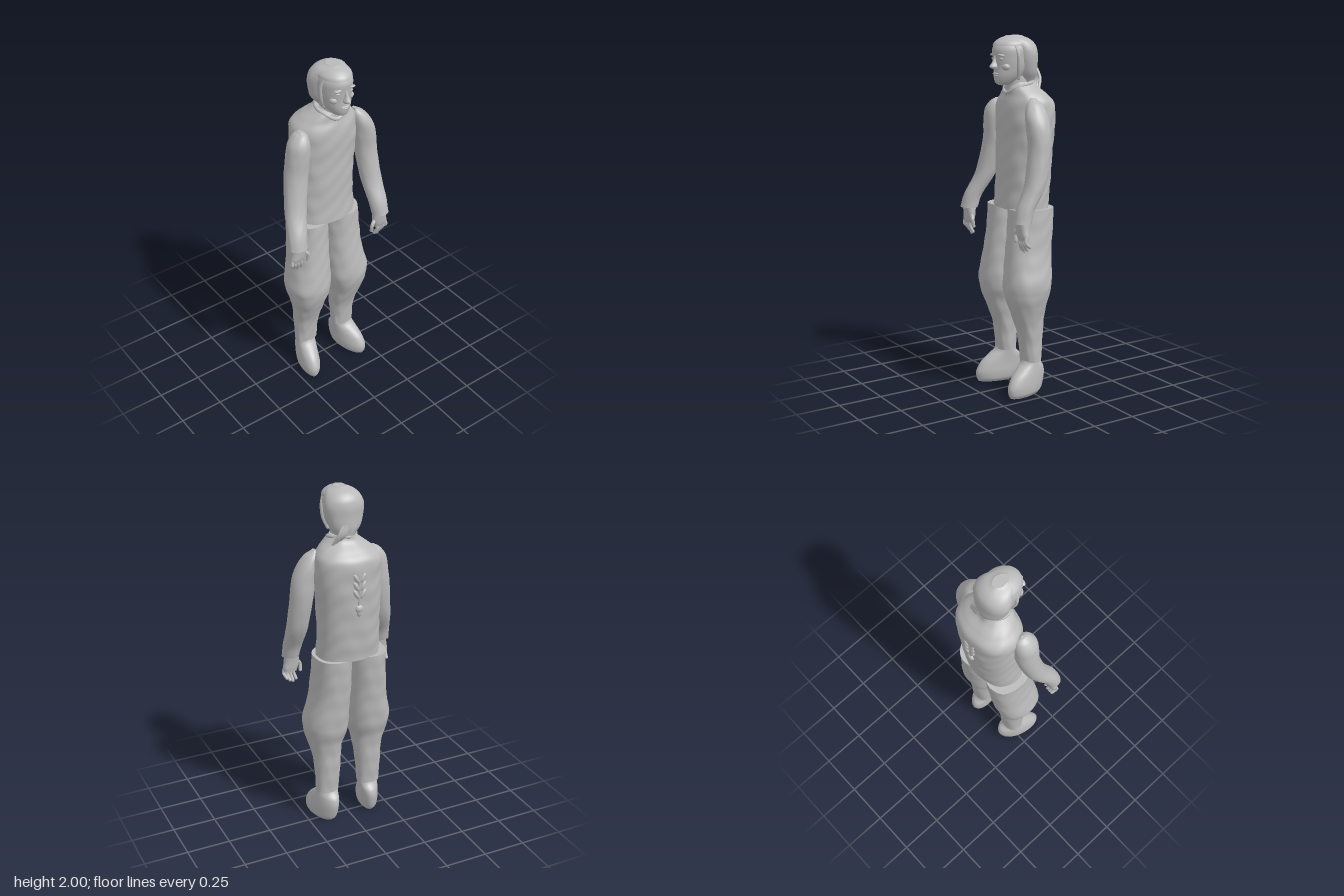
import * as THREE from 'three';

const clay = new THREE.MeshStandardMaterial({ color: 0xbababa });
clay.name = 'plain grey';

// Smooth body through horizontal sections [y, centreX, centreZ, radiusX, radiusZ], listed bottom to top.
function loft(rows, { power = 2, wrinkle = 0, shear = 0, sides = 40, steps = 6 } = {}) {
  const centre = new THREE.CatmullRomCurve3(
    rows.map(([y, x, z]) => new THREE.Vector3(x, y, z)), false, 'catmullrom', 0.5);
  const radius = new THREE.SplineCurve(rows.map(r => new THREE.Vector2(r[3], r[4])));
  const n = (rows.length - 1) * steps;
  const pos = [], index = [];
  const bend = v => Math.sign(v) * Math.abs(v) ** (2 / power);
  const ring = t => {
    const c = centre.getPoint(t), r = radius.getPoint(t);
    for (let j = 0; j < sides; j++) {
      const a = j / sides * Math.PI * 2;
      const w = wrinkle * Math.sin(c.y * 41 + Math.cos(a * 3) * 2) * Math.sin(a * 4 + c.y * 17);
      const z = c.z + (Math.max(r.y, 0.002) + w) * bend(Math.sin(a));
      pos.push(c.x + (Math.max(r.x, 0.002) + w) * bend(Math.cos(a)) + shear * z, c.y, z);
    }
  };
  for (let i = 0; i <= n; i++) ring(i / n);
  for (let i = 0; i < n; i++) for (let j = 0; j < sides; j++) {
    const k = (j + 1) % sides, a = i * sides + j, b = i * sides + k;
    index.push(a, a + sides, b, b, a + sides, b + sides);
  }
  // separate rims keep the end caps crisp
  for (const t of [0, 1]) {
    const start = pos.length / 3;
    ring(t);
    const c = centre.getPoint(t);
    pos.push(c.x + shear * c.z, c.y, c.z);
    for (let j = 0; j < sides; j++) {
      const a = start + j, b = start + (j + 1) % sides;
      if (t) index.push(start + sides, b, a);
      else index.push(start + sides, a, b);
    }
  }
  const g = new THREE.BufferGeometry();
  g.setAttribute('position', new THREE.Float32BufferAttribute(pos, 3));
  g.setIndex(index);
  g.computeVertexNormals();
  return g;
}

function add(parent, name, geometry) {
  const mesh = new THREE.Mesh(geometry, clay);
  mesh.name = name;
  parent.add(mesh);
  return mesh;
}

function blob(parent, name, [x, y, z], [rx, ry, rz], tilt = 0) {
  const mesh = add(parent, name, new THREE.SphereGeometry(1, 20, 14));
  mesh.position.set(x, y, z);
  mesh.scale.set(rx, ry, rz);
  mesh.rotation.z = tilt;
  return mesh;
}

// Round strand through points, with a ball at its far end.
function strand(parent, name, points, r, closed = false) {
  const p = points.map(q => new THREE.Vector3(...q));
  add(parent, name, new THREE.TubeGeometry(new THREE.CatmullRomCurve3(p, closed), 24, r, 10, closed));
  if (!closed) blob(parent, name + 'Tip', points.at(-1), [r, r, r]);
}

function makeHead() {
  const head = new THREE.Group();
  head.name = 'head';
  add(head, 'neck', loft([[1.62, 0.03, 0, 0.068, 0.07], [1.72, 0.028, 0.015, 0.06, 0.068],
    [1.82, 0.025, 0.03, 0.06, 0.07]]));
  add(head, 'face', loft([
    [1.735, 0.025, 0.1, 0.025, 0.035], [1.75, 0.025, 0.092, 0.046, 0.058],
    [1.785, 0.025, 0.07, 0.07, 0.087], [1.83, 0.025, 0.05, 0.086, 0.105],
    [1.88, 0.025, 0.05, 0.092, 0.108], [1.93, 0.025, 0.045, 0.092, 0.115],
    [1.97, 0.025, 0.04, 0.072, 0.092], [1.993, 0.03, 0.03, 0.035, 0.045]]));
  add(head, 'nose', loft([[1.823, 0.025, 0.158, 0.014, 0.016], [1.835, 0.025, 0.158, 0.019, 0.032],
    [1.86, 0.025, 0.152, 0.011, 0.022], [1.895, 0.025, 0.146, 0.008, 0.014]], { sides: 20 }));
  blob(head, 'upperLip', [0.025, 1.797, 0.153], [0.028, 0.006, 0.01]);
  blob(head, 'lowerLip', [0.025, 1.786, 0.15], [0.023, 0.007, 0.011]);
  blob(head, 'chin', [0.025, 1.76, 0.137], [0.025, 0.015, 0.015]);
  for (const s of [-1, 1]) {
    blob(head, 'eye', [0.025 + s * 0.038, 1.876, 0.142], [0.016, 0.007, 0.009]);
    blob(head, 'brow', [0.025 + s * 0.04, 1.898, 0.143], [0.026, 0.007, 0.015], -s * 0.12);
    blob(head, 'cheek', [0.025 + s * 0.048, 1.835, 0.115], [0.027, 0.022, 0.026]);
  }
  // hair: back volume, forehead fringe and a loose tail at the nape
  add(head, 'hair', loft([
    [1.745, 0.03, -0.035, 0.052, 0.052], [1.8, 0.025, -0.022, 0.09, 0.07],
    [1.86, 0.025, -0.015, 0.107, 0.076], [1.91, 0.025, -0.01, 0.112, 0.08],
    [1.95, 0.025, 0.002, 0.1, 0.082], [1.98, 0.025, 0.025, 0.075, 0.075],
    [2, 0.025, 0.04, 0.032, 0.045]], { wrinkle: 0.001 }));
  add(head, 'fringe', loft([[1.945, 0.025, 0.045, 0.091, 0.114], [1.965, 0.025, 0.043, 0.084, 0.105],
    [1.985, 0.025, 0.04, 0.06, 0.08], [1.998, 0.025, 0.04, 0.032, 0.045]]));
  for (const s of [-1, 1]) {
    strand(head, 'sideLock', [[0.025 + s * 0.075, 1.95, 0.075], [0.025 + s * 0.092, 1.9, 0.065],
      [0.025 + s * 0.087, 1.83, 0.06], [0.025 + s * 0.066, 1.775, 0.05]], 0.011);
  }
  for (let i = 0; i < 3; i++) {
    strand(head, 'hairTail', [[0.04 + i * 0.012, 1.82, -0.085], [0.06 + i * 0.015, 1.77, -0.09],
      [0.085 + i * 0.015, 1.735 - i * 0.012, -0.065]], 0.013 - i * 0.002);
  }
  return head;
}

function makeHand(side, s) {
  const hand = new THREE.Group();
  hand.name = side + 'Hand';
  add(hand, 'palm', loft([[0.925, s * 0.287, 0.143, 0.038, 0.018], [0.95, s * 0.284, 0.145, 0.044, 0.024],
    [0.985, s * 0.278, 0.146, 0.044, 0.028], [1.04, s * 0.278, 0.145, 0.04, 0.034]], { power: 2.4 }));
  for (let i = 0; i < 4; i++) {
    const x = 0.258 + i * 0.02, drop = [0.875, 0.867, 0.876, 0.892][i];
    strand(hand, 'finger', [[s * x, 0.955, 0.146], [s * (x + 0.006), 0.915, 0.152],
      [s * (x - 0.002), drop, 0.136 - i * 0.004]], 0.0095);
  }
  strand(hand, 'thumb', [[s * 0.25, 0.985, 0.148], [s * 0.222, 0.955, 0.158], [s * 0.222, 0.915, 0.152]], 0.0105);
  return hand;
}

export function createModel() {
  const model = new THREE.Group();
  model.name = 'standingFigure';
  model.add(makeHead());

  // tunic
  add(model, 'tunic', loft([
    [1.055, 0.01, -0.02, 0.18, 0.13], [1.2, 0.01, -0.03, 0.176, 0.134],
    [1.4, 0.015, -0.038, 0.181, 0.14], [1.54, 0.02, -0.04, 0.19, 0.143],
    [1.63, 0.02, -0.042, 0.184, 0.14], [1.68, 0.028, -0.027, 0.148, 0.113],
    [1.72, 0.03, -0.008, 0.1, 0.09], [1.75, 0.03, -0.01, 0.07, 0.076]],
  { power: 2.25, wrinkle: 0.0025, sides: 64, steps: 10 }));
  strand(model, 'collar', [[0.03, 1.75, -0.08], [0.105, 1.742, -0.01], [0.085, 1.72, 0.06],
    [0.025, 1.69, 0.085], [-0.03, 1.72, 0.06], [-0.045, 1.742, -0.01]], 0.011, true);

  // raised sprig on the back
  const sprig = new THREE.Group();
  sprig.name = 'backOrnament';
  model.add(sprig);
  for (let i = 0; i < 3; i++) for (const s of [-1, 1]) {
    blob(sprig, 'leaf', [0.015 + s * 0.019, 1.55 - i * 0.045, -0.182], [0.012, 0.03, 0.012], -s * 0.5);
  }
  strand(sprig, 'stem', [[0.015, 1.56, -0.182], [0.015, 1.48, -0.182], [0.015, 1.4, -0.178]], 0.006);
  blob(sprig, 'bud', [0.015, 1.375, -0.178], [0.023, 0.022, 0.015]);
  blob(sprig, 'budPoint', [0.015, 1.352, -0.176], [0.013, 0.022, 0.012]);

  // sleeves
  add(model, 'rightSleeve', loft([
    [1.02, -0.28, 0.147, 0.056, 0.047], [1.1, -0.268, 0.122, 0.055, 0.051],
    [1.22, -0.235, 0.063, 0.062, 0.058], [1.39, -0.203, 0.028, 0.068, 0.062],
    [1.5, -0.19, 0.025, 0.067, 0.066], [1.58, -0.182, 0.025, 0.06, 0.064],
    [1.63, -0.17, 0.02, 0.036, 0.045], [1.65, -0.165, 0.02, 0.01, 0.016]], { wrinkle: 0.001 }));
  add(model, 'leftSleeve', loft([
    [1.02, 0.282, 0.147, 0.05, 0.047], [1.1, 0.278, 0.122, 0.054, 0.051],
    [1.22, 0.275, 0.063, 0.061, 0.058], [1.39, 0.262, 0.028, 0.064, 0.062],
    [1.5, 0.25, 0.025, 0.065, 0.066], [1.58, 0.23, 0.025, 0.056, 0.064],
    [1.64, 0.205, 0.02, 0.038, 0.045], [1.672, 0.187, 0.02, 0.01, 0.016]], { wrinkle: 0.001 }));

  for (const [side, s] of [['right', -1], ['left', 1]]) {
    model.add(makeHand(side, s));
    // baggy trouser leg gathered below the knee
    add(model, side + 'TrouserLeg', loft([
      [0.19, s * 0.132, -0.005, 0.067, 0.053], [0.33, s * 0.13, -0.003, 0.073, 0.066],
      [0.44, s * 0.13, 0.012, 0.084, 0.087], [0.51, s * 0.134, 0.02, 0.1, 0.104],
      [0.58, s * 0.131, 0.02, 0.12, 0.125], [0.65, s * 0.13, 0.017, 0.126, 0.134],
      [0.8, s * 0.114, 0, 0.112, 0.13], [0.95, s * 0.107, -0.015, 0.105, 0.13],
      [1.06, s * 0.105, -0.022, 0.104, 0.13]], { power: 2.3, wrinkle: 0.002, sides: 48, steps: 8 }));
    // soft shoe with the toe turned slightly out
    add(model, side + 'Shoe', loft([
      [0, s * 0.143, 0.05, 0.045, 0.105], [0.02, s * 0.142, 0.045, 0.058, 0.119],
      [0.06, s * 0.141, 0.038, 0.063, 0.127], [0.11, s * 0.14, 0.02, 0.061, 0.118],
      [0.15, s * 0.137, 0.003, 0.059, 0.092], [0.18, s * 0.134, -0.003, 0.058, 0.06],
      [0.215, s * 0.132, -0.003, 0.056, 0.045]], { shear: s * 0.2 }));
  }
  return model;
}
